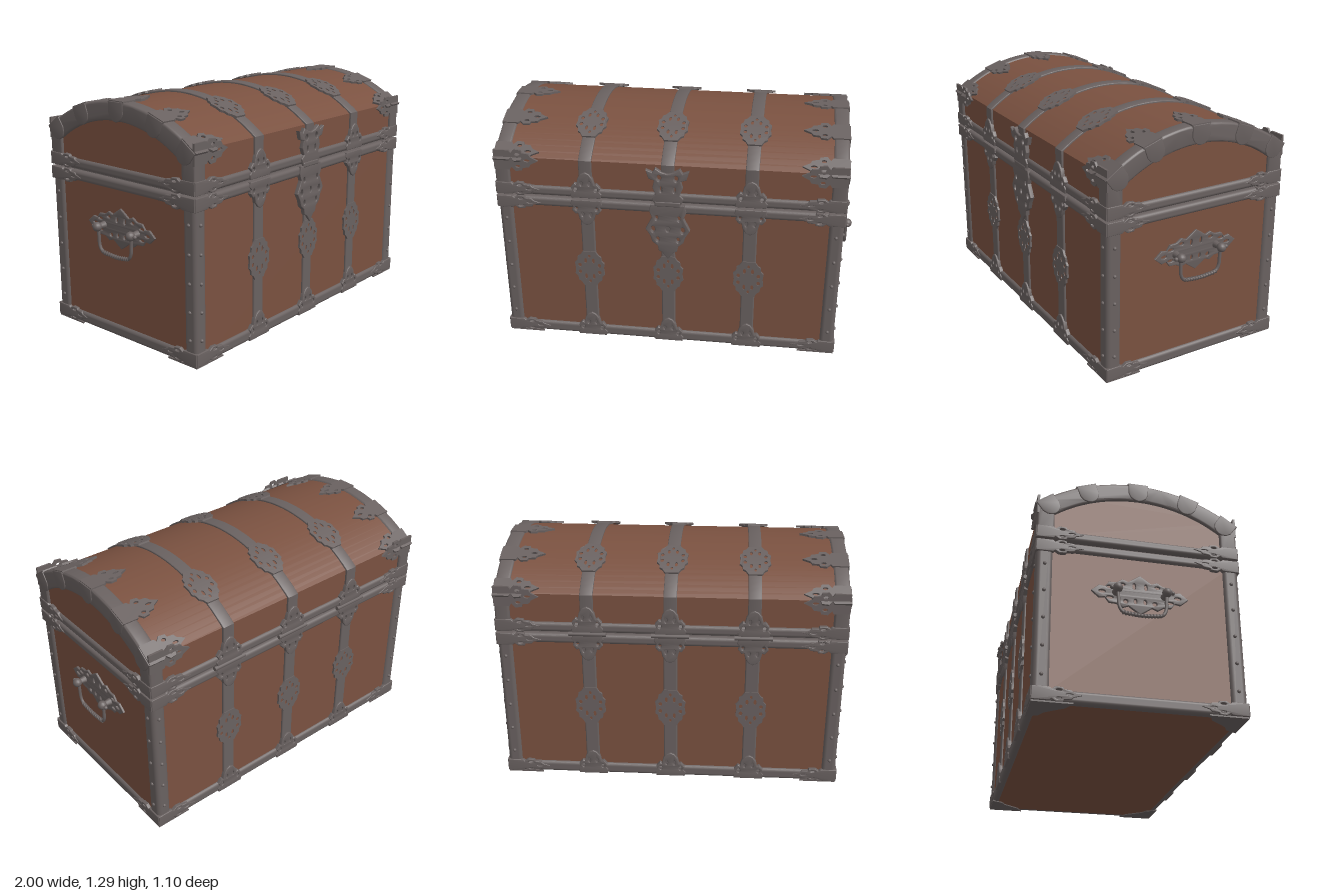
import * as THREE from 'three';
import { toCreasedNormals } from 'three/addons/utils/BufferGeometryUtils.js';
import { RoundedBoxGeometry } from 'three/addons/geometries/RoundedBoxGeometry.js';

const W = 0.93, D = 0.53;              // half width and half depth over the iron
const R = 0.852, CY = 0.433;           // lid arc radius and centre height

export function createModel() {
  const root = new THREE.Group();
  root.name = 'chest';
  const wood = new THREE.MeshStandardMaterial({ color: 0x7a5140 });
  wood.name = 'brown wood';
  const iron = new THREE.MeshStandardMaterial({ color: 0x696160 });
  iron.name = 'grey iron';

  const add = (name, geo, mat, pos, rot = [0, 0, 0], parent = root) => {
    const m = new THREE.Mesh(geo, mat);
    m.name = name;
    m.position.set(...pos);
    m.rotation.set(...rot);
    parent.add(m);
    return m;
  };
  const block = (name, w, h, d, pos, r = 0.02, mat = iron) =>
    add(name, new RoundedBoxGeometry(w, h, d, 3, r), mat, pos);

  // Outline from points; holes are [x, y, rx, ry]
  const outline = (pts, holes = []) => {
    const s = new THREE.Shape(pts.map(p => new THREE.Vector2(...p)));
    for (const [x, y, rx, ry] of holes) {
      const h = new THREE.Path();
      h.absellipse(x, y, rx, ry, 0, Math.PI * 2, true);
      s.holes.push(h);
    }
    return s;
  };
  const slab = (shape, depth, bevel = 0) => toCreasedNormals(new THREE.ExtrudeGeometry(shape, {
    depth, curveSegments: 8, bevelEnabled: bevel > 0, bevelSize: bevel,
    bevelThickness: bevel, bevelOffset: -bevel, bevelSegments: 3 }), 0.6);
  const mirrorX = half => [...half, ...half.filter(p => p[0] !== 0).reverse().map(([x, y]) => [-x, y])];
  const mirrorY = half => [...half, ...half.filter(p => p[1] !== 0).reverse().map(([x, y]) => [x, -y])];
  const pairX = list => list.flatMap(([x, y, a, b]) => [[x, y, a, b], [-x, y, a, b]]);
  const bend = geo => {                // curve a plate to the lid
    const p = geo.attributes.position;
    for (let i = 0; i < p.count; i++) p.setZ(i, p.getZ(i) - p.getY(i) ** 2 / (2 * R));
    geo.computeVertexNormals();
    return geo;
  };
  // Points on an arc across the lid, from z = -half to z = half
  const arc = (r, cy, half, n = 28) => Array.from({ length: n + 1 }, (_, i) => {
    const a = Math.asin(half / r) * (2 * i / n - 1);
    return [r * Math.sin(a), cy + r * Math.cos(a)];
  });
  const band = (outer, inner, y0) => outline([
    [outer[0][0], y0], ...outer, [-outer[0][0], y0],
    [-inner[0][0], y0], ...[...inner].reverse(), [inner[0][0], y0]]);
  const turn = [0, Math.PI / 2, 0];

  // Wooden body and lid
  add('bodyWood', new THREE.BoxGeometry(1.83, 0.86, 1.03), wood, [0, 0.436, 0]);
  const lidArc = arc(R - 0.008, CY, 0.515);
  add('lidWood', slab(outline([[-0.515, 0.9], ...lidArc, [0.515, 0.9]]), 1.83), wood, [-0.915, 0, 0], turn);
  add('seam', new THREE.BoxGeometry(1.8, 0.04, 1.0), iron, [0, 0.885, 0]);

  // Rails around the base, body rim and lid rim
  for (const [name, y, h] of [['baseRail', 0.038, 0.066], ['bodyRail', 0.851, 0.056], ['lidRail', 0.917, 0.056]]) {
    for (const s of [-1, 1]) {
      block(name, 2 * W, h, 0.05, [0, y, s * (D - 0.025)]);
      block(name, 0.05, h, 2 * D, [s * (W - 0.025), y, 0]);
    }
  }

  // Corner posts with rivets
  for (const sx of [-1, 1]) for (const sz of [-1, 1]) {
    block('cornerPost', 0.08, 0.79, 0.085, [sx * (W - 0.042), 0.44, sz * (D - 0.0445)], 0.024);
    for (const y of [0.14, 0.29, 0.44, 0.59, 0.74]) {
      add('rivet', new THREE.SphereGeometry(0.01, 10, 6), iron, [sx * (W - 0.002), y, sz * 0.485]);
      add('rivet', new THREE.SphereGeometry(0.01, 10, 6), iron, [sx * 0.89, y, sz * (D - 0.002)]);
    }
  }

  // Arched trim on the lid ends
  const trim = slab(band(arc(R, CY, D), arc(0.74, 0.445, 0.44), 0.93), 0.056, 0.012);
  for (const x of [-W + 0.012, W - 0.068]) add('lidEndTrim', trim, iron, [x, 0, 0], turn);

  // Pierced ornaments
  const rosetteHalf = [[0.035, -0.11], [0.05, -0.085], [0.065, -0.075], [0.068, -0.05], [0.083, -0.035], [0.078, 0],
    [0.083, 0.035], [0.068, 0.05], [0.065, 0.075], [0.05, 0.085], [0.035, 0.11]];
  const rosettePts = mirrorX(rosetteHalf);
  const rosetteShape = outline(rosettePts, [
    ...pairX([[0.055, 0.022, 0.01, 0.012], [0.055, -0.022, 0.01, 0.012], [0.022, 0.05, 0.008, 0.016],
      [0.022, -0.05, 0.008, 0.016]]), [0, 0.08, 0.007, 0.01], [0, -0.08, 0.007, 0.01]]);
  const backing = outline(rosettePts.map(([x, y]) => [x * 0.88, y * 0.88]));
  const rosette = slab(rosetteShape, 0.012), rosetteBack = slab(backing, 0.007);
  const lidRosette = bend(slab(rosetteShape, 0.012)), lidRosetteBack = bend(slab(backing, 0.007));
  const tulip = slab(outline(mirrorX([[0.08, 0], [0.086, 0.025], [0.072, 0.04], [0.08, 0.06], [0.06, 0.085],
    [0.048, 0.08], [0.04, 0.115], [0.022, 0.14], [0, 0.15]]),
    pairX([[0.055, 0.05, 0.009, 0.012], [0.022, 0.085, 0.007, 0.014]])), 0.026, 0.004);

  // Straps, with ornaments front, back and over the lid
  const strapArc = slab(band(arc(R + 0.002, CY, 0.527), arc(R - 0.03, CY, 0.5), 0.92), 0.062, 0.004);
  for (const x of [-0.44, 0, 0.44]) {
    add('lidStrap', strapArc, iron, [x - 0.031, 0, 0], turn);
    for (const s of [-1, 1]) {
      const ry = s > 0 ? 0 : Math.PI;
      block('bodyStrap', 0.075, 0.82, 0.02, [x, 0.44, s * 0.517], 0.008);
      const locked = x === 0 && s > 0;
      add('midRosette', rosette, iron, [x, 0.45, s * 0.52], [0, ry, 0]);
      add('midRosetteInset', rosetteBack, wood, [x, 0.45, s * 0.521], [0, ry, 0]);
      add('baseOrnament', tulip, iron, [x, 0.008, s * 0.507], [0, ry, 0]);
      if (!locked) {
        add('lidRimOrnament', tulip, iron, [x, 0.892, s * 0.507], [0, ry, 0]);
        add('bodyRimOrnament', tulip, iron, [x, 0.878, s * 0.507], [0, ry, Math.PI]);
      }
      const a = s * Math.asin(0.3 / R);
      const at = r => [x, CY + r * Math.cos(a), r * Math.sin(a)];
      add('lidRosette', lidRosette, iron, at(R - 0.001), [a - Math.PI / 2, 0, 0]);
      add('lidRosetteInset', lidRosetteBack, wood, at(R), [a - Math.PI / 2, 0, 0]);
    }
    add('hingeBarrel', new THREE.CylinderGeometry(0.012, 0.012, 0.2, 12), iron, [x, 0.885, -0.532], [0, 0, Math.PI / 2]);
  }

  // Lock: crowned hasp above, pointed plate below
  add('lockHasp', slab(outline(mirrorX([[0.075, 0.89], [0.085, 0.92], [0.065, 0.94], [0.08, 0.98], [0.07, 1.02],
    [0.1, 1.03], [0.115, 1.08], [0.08, 1.065], [0.065, 1.09], [0.035, 1.07], [0, 1.06]]),
    pairX([[0.045, 1.035, 0.012, 0.018], [0.035, 0.97, 0.008, 0.018]])), 0.022, 0.004), iron, [0, 0, 0.513]);
  add('lockPlate', slab(outline(mirrorX([[0, 0.55], [0.03, 0.59], [0.05, 0.6], [0.055, 0.63], [0.085, 0.655],
    [0.095, 0.69], [0.12, 0.73], [0.1, 0.77], [0.085, 0.8], [0.1, 0.84], [0.09, 0.88]]), [
    ...pairX([[0.08, 0.73, 0.012, 0.02], [0.055, 0.67, 0.01, 0.016], [0.06, 0.8, 0.009, 0.016]]),
    [0, 0.735, 0.012, 0.018]]), 0.022, 0.004), iron, [0, 0, 0.513]);
  block('lockBar', 0.14, 0.03, 0.02, [0, 0.885, 0.532], 0.008);

  // Leaf brackets on every corner
  const leafShape = k => outline(mirrorY([[0, 0.055 * k], [0.085, 0.055 * k], [0.095, 0.04 * k], [0.115, 0.062 * k],
    [0.15, 0.058 * k], [0.155, 0.042 * k], [0.19, 0.038 * k], [0.2, 0.02 * k], [0.24, 0]]).reverse(),
    [[0.13, 0.034 * k, 0.014, 0.009 * k], [0.13, -0.034 * k, 0.014, 0.009 * k], [0.18, 0, 0.018, 0.008 * k]]);
  const leaf = slab(leafShape(1), 0.012), railLeaf = slab(leafShape(0.62), 0.024, 0.003);
  const clip = slab(outline(mirrorX([[0.052, 0], [0.052, -0.06], [0.04, -0.085], [0.02, -0.1], [0, -0.104]])), 0.008, 0.003);
  for (const sx of [-1, 1]) {
    const flip = sx > 0 ? Math.PI : 0;
    for (const z of [-0.495, -0.28, 0, 0.28, 0.495]) {
      const a = Math.asin(z / R), y = CY + R * Math.cos(a);
      add('lidLeaf', leaf, iron, [sx * W, y - 0.007 * Math.cos(a), z - 0.007 * Math.sin(a)], [a - Math.PI / 2, 0, flip]);
      const g = new THREE.Group();
      g.name = 'lidEndClip';
      g.position.set(sx * (W - 0.006), y, z);
      g.rotation.x = a;
      add('clip', clip, iron, [0, 0, 0], [0, sx * Math.PI / 2, 0], g);
      root.add(g);
    }
    for (const sz of [-1, 1]) {
      // shoulder leaf on the upright part of the lid
      add('shoulderLeaf', leaf, iron, [sx * W, 1.09, sz * 0.519], [0, sz > 0 ? 0 : Math.PI, sx * sz > 0 ? Math.PI : 0]);
      for (const y of [0.044, 0.845, 0.925]) {
        add('railLeaf', railLeaf, iron, [sx * W, y, sz * 0.508], [0, sz > 0 ? 0 : Math.PI, sx * sz > 0 ? Math.PI : 0]);
        add('sideRailLeaf', railLeaf, iron, [sx * (W - 0.022), y, sz * D],
          [0, sx * Math.PI / 2, sx * sz > 0 ? 0 : Math.PI]);
      }
      // corner plate under the base
      const foot = outline([[0, 0], [0.2, 0], [0.17, 0.06], [0.13, 0.08], [0.09, 0.13], [0.06, 0.17], [0, 0.2]]
        .map(([u, v]) => [sx * (W - u), sz * (D - v)]));
      add('footPlate', slab(foot, 0.008), iron, [0, 0.008, 0], [Math.PI / 2, 0, 0]);
    }
  }

  // Side handles: pierced plate, two knobs and a twisted bail
  const upper = mirrorX([[0.25, 0], [0.21, 0.035], [0.18, 0.03], [0.16, 0.058], [0.12, 0.06], [0.09, 0.08],
    [0.06, 0.068], [0.03, 0.09], [0, 0.11]]);
  const lower = upper.slice(1, -1).reverse().map(([x, y]) => [x, -y]);
  const handleShape = outline([...upper, ...lower], pairX([[0.195, 0, 0.018, 0.009], [0.155, 0.03, 0.018, 0.008],
    [0.155, -0.03, 0.018, 0.008], [0.09, 0.05, 0.014, 0.009], [0.075, -0.045, 0.012, 0.012],
    [0.03, 0.045, 0.008, 0.018], [0.025, -0.04, 0.008, 0.014]]));
  const handlePlate = slab(handleShape, 0.01, 0.003);
  const bailCurve = new THREE.CatmullRomCurve3([[0.125, 0.615], [0.122, 0.57], [0.118, 0.52], [0.1, 0.492], [0.05, 0.483],
    [0, 0.48], [-0.05, 0.483], [-0.1, 0.492], [-0.118, 0.52], [-0.122, 0.57], [-0.125, 0.615]]
    .map(([z, y]) => new THREE.Vector3(0, y, z)));
  const bail = new THREE.TubeGeometry(bailCurve, 48, 0.009, 8);
  const ring = new THREE.TorusGeometry(0.009, 0.004, 6, 10);
  for (const s of [-1, 1]) {
    add('handlePlate', handlePlate, iron, [s * 0.913, 0.62, 0], [0, s * Math.PI / 2, 0]);
    add('handleBail', bail, iron, [s * 0.968, 0, 0]);
    for (let i = 0; i < 13; i++) {
      const t = 0.29 + 0.42 * i / 12;
      const p = bailCurve.getPointAt(t);
      add('bailTwist', ring, iron, [s * 0.968, p.y, p.z], [0.3, 0.45, 0]);
    }
    for (const z of [-0.125, 0.125]) {
      add('handlePost', new THREE.CylinderGeometry(0.012, 0.022, 0.06, 12), iron, [s * 0.945, 0.62, z], [0, 0, -s * Math.PI / 2]);
      add('handleKnob', new THREE.SphereGeometry(0.025, 14, 10), iron, [s * 0.975, 0.62, z]);
      add('knobTip', new THREE.SphereGeometry(0.011, 10, 8), iron, [s * 0.973, 0.62, z * 1.24]);
    }
  }
  return root;
}
